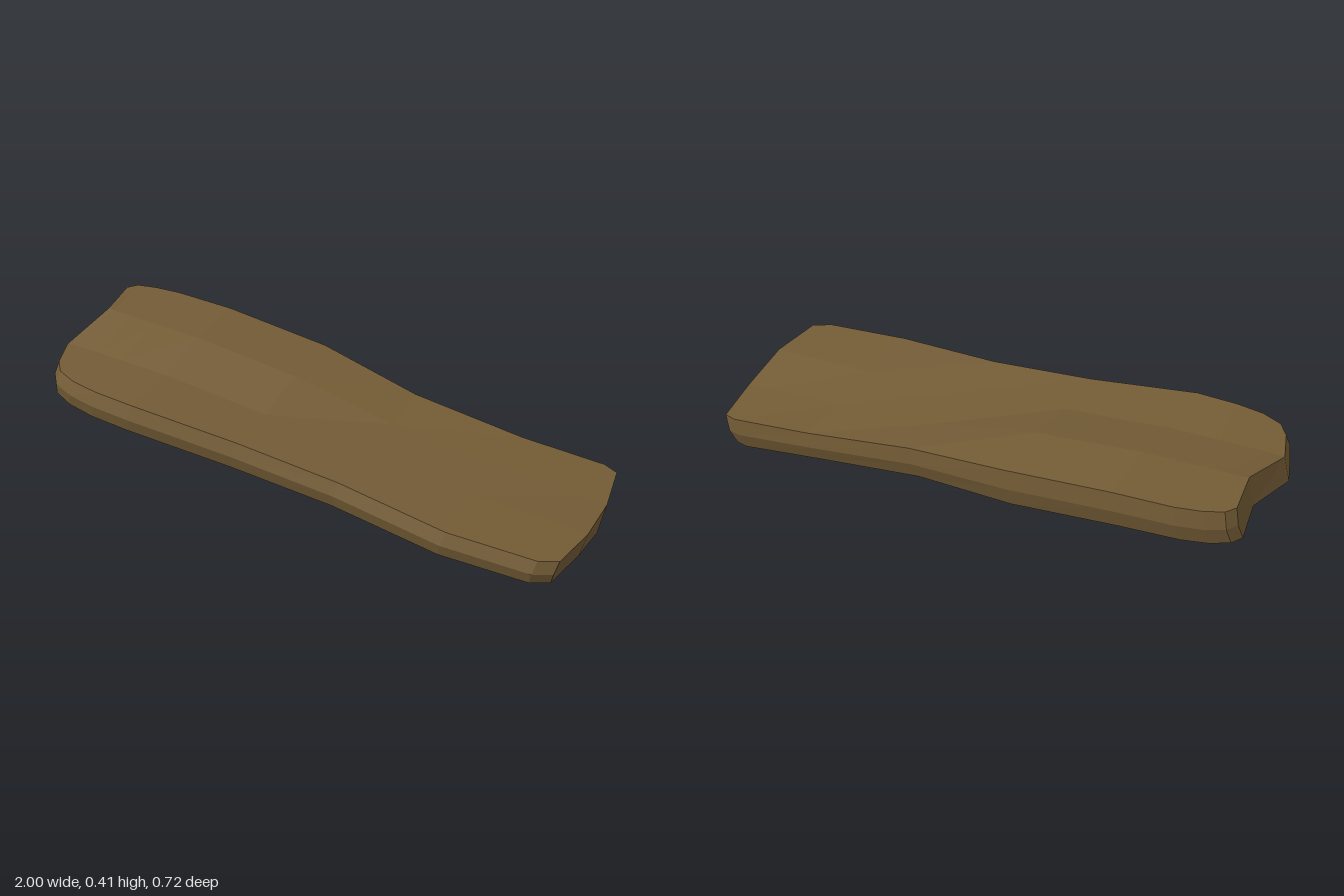
import * as THREE from 'three';

// Stations along the plank: x and z of the front and back edge, height of the
// four upper lanes (front to back), thickness at the front, inner back and back.
const STATIONS = [
  { x: [-0.935, -0.96], z: [0.25, -0.23], y: [0.355, 0.355, 0.405, 0.405], t: [0.093, 0.108, 0.128], inner: [-0.975, -0.935] },
  { x: [-0.895, -0.935], z: [0.3, -0.265], y: [0.353, 0.355, 0.4, 0.404], t: [0.098, 0.115, 0.132] },
  { x: [-0.82, -0.87], z: [0.33, -0.29], y: [0.349, 0.351, 0.394, 0.398], t: [0.103, 0.125, 0.137] },
  { x: [-0.72, -0.78], z: [0.343, -0.308], y: [0.343, 0.345, 0.387, 0.391], t: [0.108, 0.132, 0.14] },
  { x: [-0.57, -0.57], z: [0.345, -0.322], y: [0.334, 0.332, 0.375, 0.375], t: [0.11, 0.14, 0.145] },
  { x: [-0.18, -0.18], z: [0.303, -0.335], y: [0.28, 0.278, 0.318, 0.32], t: [0.108, 0.148, 0.15] },
  { x: [0.2, 0.2], z: [0.285, -0.306], y: [0.232, 0.222, 0.222, 0.241], t: [0.103, 0.108, 0.127] },
  { x: [0.6, 0.6], z: [0.305, -0.333], y: [0.185, 0.18, 0.168, 0.17], t: [0.1, 0.114, 0.117] },
  { x: [0.91, 0.9], z: [0.275, -0.36], y: [0.161, 0.158, 0.134, 0.136], t: [0.098, 0.123, 0.126] },
  { x: [0.972, 0.952], z: [0.24, -0.345], y: [0.158, 0.152, 0.128, 0.128], t: [0.097, 0.128, 0.128], inner: [0.998, 0.987] },
];
const LEAN = 0.024;         // end faces lean because the board slopes
const FRONT_BULGE = 0.015;  // rounded-out front edge
const BACK_BULGE = 0.004;   // nearly upright back edge
const BACK_TUCK = 0.018;    // the lower back edge is drawn in

// Ten points: top lanes, back ridge, bottom lanes, front ridge
function crossSection({ x: [xf, xb], z: [zf, zb], y, t: [tf, tm, tb], inner }) {
  const middle = (xf + xb) / 2;
  const [x1, x2] = inner ?? [middle, middle];
  // The two inner lanes drift steadily backwards along the board
  const drift = x => 0.0975 - 0.043 * x;
  const x = [xf, x1, x2, xb];
  const z = [zf, drift(x1), drift(x2) - 0.21, zb];
  const t = [tf, tf, tm, tb];
  const top = i => [x[i], y[i], z[i]];
  const bottom = i => [x[i] - LEAN, y[i] - t[i], z[i] + (i === 3 ? BACK_TUCK : 0)];
  const ridge = (i, bulge) => [x[i] - LEAN / 2, y[i] - t[i] / 2, z[i] + bulge];
  return [
    ...[0, 1, 2, 3].map(top), ridge(3, -BACK_BULGE),
    ...[3, 2, 1, 0].map(bottom), ridge(0, FRONT_BULGE),
  ];
}

function plankGeometry() {
  const N = 10;
  const positions = STATIONS.flatMap(crossSection).flat();
  const index = [];
  const quad = (a, b, c, d) => index.push(a, b, c, a, c, d);

  // Skin between neighbouring cross-sections
  for (let s = 0; s < STATIONS.length - 1; s++) {
    for (let k = 0; k < N; k++) {
      const n = (k + 1) % N;
      quad(s * N + k, (s + 1) * N + k, (s + 1) * N + n, s * N + n);
    }
  }

  // End faces
  const last = (STATIONS.length - 1) * N;
  for (let i = 0; i < 3; i++) {
    quad(i, i + 1, 7 - i, 8 - i);
    quad(last + i, last + 8 - i, last + 7 - i, last + i + 1);
  }
  for (const [a, b, c] of [[3, 4, 5], [8, 9, 0]]) {
    index.push(a, b, c, last + a, last + c, last + b);
  }

  const geometry = new THREE.BufferGeometry();
  geometry.setAttribute('position', new THREE.Float32BufferAttribute(positions, 3));
  geometry.setIndex(index);
  const flat = geometry.toNonIndexed();
  flat.computeVertexNormals();
  return flat;
}

export function createModel() {
  const group = new THREE.Group();
  group.name = 'warpedPlank';
  const wood = new THREE.MeshStandardMaterial({ color: 0x745c36, flatShading: true });
  const plank = new THREE.Mesh(plankGeometry(), wood);
  plank.name = 'plank';
  group.add(plank);
  return group;
}
